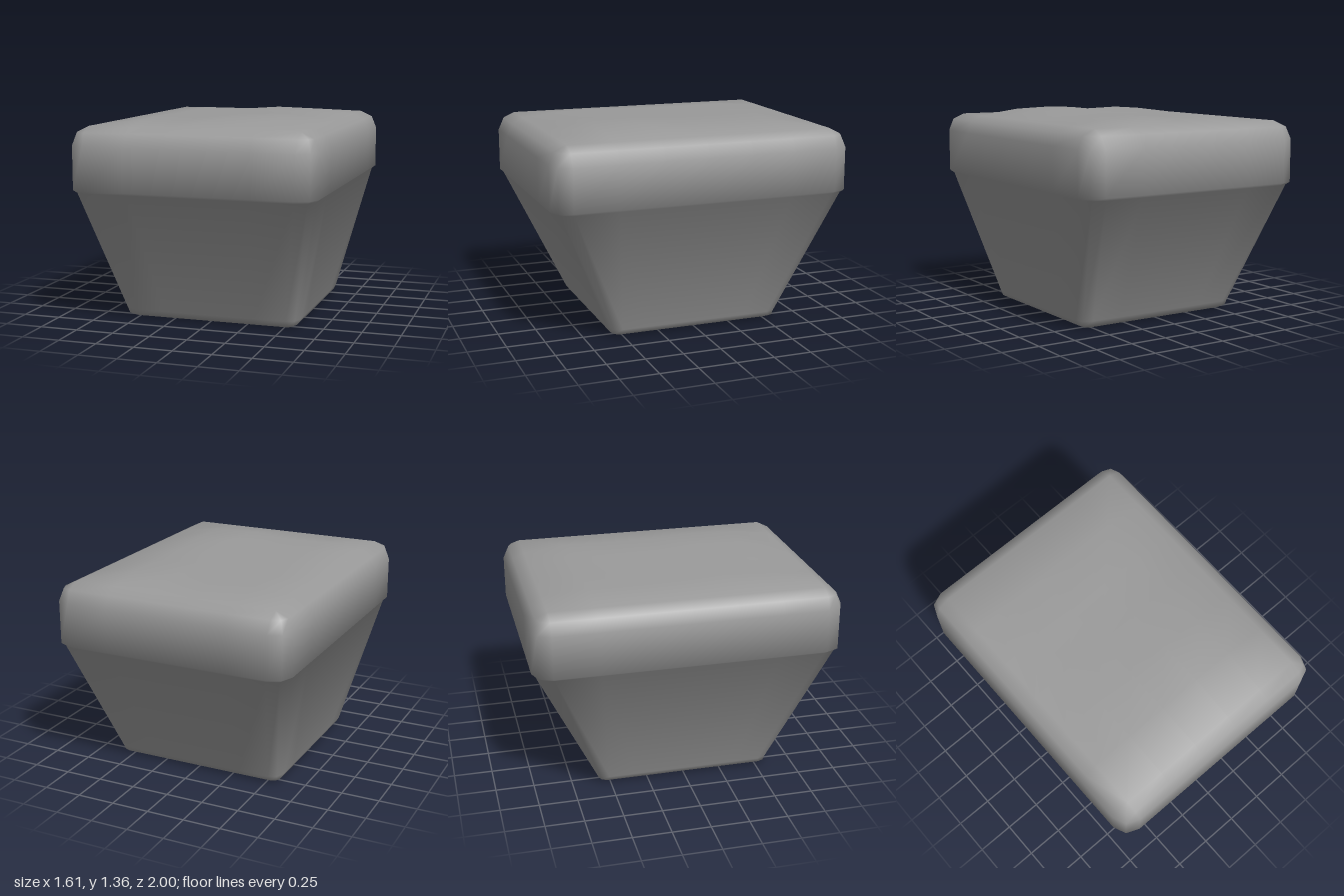
import * as THREE from 'three';
import { mergeGeometries, mergeVertices } from 'three/addons/utils/BufferGeometryUtils.js';

const STEPS_X = 5, STEPS_Z = 6;

// Rounded rectangle outline, counter-clockwise seen from above
function outline(hx, hz, r) {
  const corners = [];
  [[1, -1], [-1, -1], [-1, 1], [1, 1]].forEach(([sx, sz], c) => {
    for (let k = 0; k < 3; k++) {
      const a = (c + k / 2) * Math.PI / 2;
      corners.push([sx * (hx - r) + r * Math.cos(a), sz * (hz - r) - r * Math.sin(a)]);
    }
  });
  const points = [];
  corners.forEach((p, i) => {
    const q = corners[(i + 1) % corners.length];
    const side = i % 6 === 2 ? STEPS_X : STEPS_Z;
    const steps = i % 3 === 2 ? side : 1; // only the straight sides are divided
    for (let k = 0; k < steps; k++) {
      const t = k / steps;
      points.push([p[0] + (q[0] - p[0]) * t, p[1] + (q[1] - p[1]) * t]);
    }
  });
  return points;
}

// Closed base, tapered wall, lip and bevel, as stacked outlines
function shellGeometry() {
  // Half width, half depth, height, corner radius
  const rings = [
    [0.535, 0.53, 0, 0.02],
    [0.58, 0.572, 0.02, 0.05],
    [0.6, 0.59, 0.055, 0.08],
    [0.78, 0.98, 0.88, 0.11],
    [0.804, 1.0, 0.897, 0.12],
    [0.804, 1.0, 1.18, 0.12],
    [0.77, 0.962, 1.26, 0.08],
    [0.69, 0.885, 1.298, 0],
  ];
  const positions = [0, 0, 0];
  for (const [hx, hz, y, r] of rings) {
    for (const [x, z] of outline(hx, hz, r)) positions.push(x, y, z);
  }
  const n = outline(1, 1, 0.1).length;
  const index = [];
  for (let i = 0; i < n; i++) {
    const j = (i + 1) % n;
    index.push(0, 1 + j, 1 + i); // underside
    for (let k = 0; k < rings.length - 1; k++) {
      const a = 1 + k * n, b = a + n;
      index.push(a + i, a + j, b + j, a + i, b + j, b + i);
    }
  }
  const geometry = new THREE.BufferGeometry();
  geometry.setAttribute('position', new THREE.Float32BufferAttribute(positions, 3));
  geometry.setIndex(index);
  return geometry;
}

// Gently uneven top: heights across x, scaled by row from back to front
function crownGeometry() {
  const across = [0, 0.035, 0.027, 0.057, 0.047, 0];
  const along = [0, 0.68, 0.6, 0.68, 1, 0.84, 0];
  const geometry = new THREE.PlaneGeometry(1.38, 1.77, STEPS_X, STEPS_Z).rotateX(-Math.PI / 2);
  geometry.deleteAttribute('uv');
  geometry.deleteAttribute('normal');
  const position = geometry.attributes.position;
  for (let i = 0; i < position.count; i++) {
    const column = i % (STEPS_X + 1), row = Math.floor(i / (STEPS_X + 1));
    position.setY(i, 1.298 + across[column] * along[row]);
  }
  return geometry;
}

// Soft normals: every face counts equally, so small bevels shade their neighbours
function softenNormals(geometry) {
  const flat = geometry.toNonIndexed();
  flat.computeVertexNormals();
  const normals = new Float32Array(geometry.attributes.position.count * 3);
  geometry.index.array.forEach((vertex, corner) => {
    for (let k = 0; k < 3; k++) normals[vertex * 3 + k] += flat.attributes.normal.array[corner * 3 + k];
  });
  geometry.setAttribute('normal', new THREE.BufferAttribute(normals, 3));
  geometry.normalizeNormals();
}

export function createModel() {
  const group = new THREE.Group();
  const geometry = mergeVertices(mergeGeometries([shellGeometry(), crownGeometry()]), 1e-4);
  softenNormals(geometry);
  const mesh = new THREE.Mesh(geometry, new THREE.MeshStandardMaterial({ color: 0x9a9a9a }));
  mesh.name = 'taperedBlockWithLid';
  group.add(mesh);
  return group;
}
